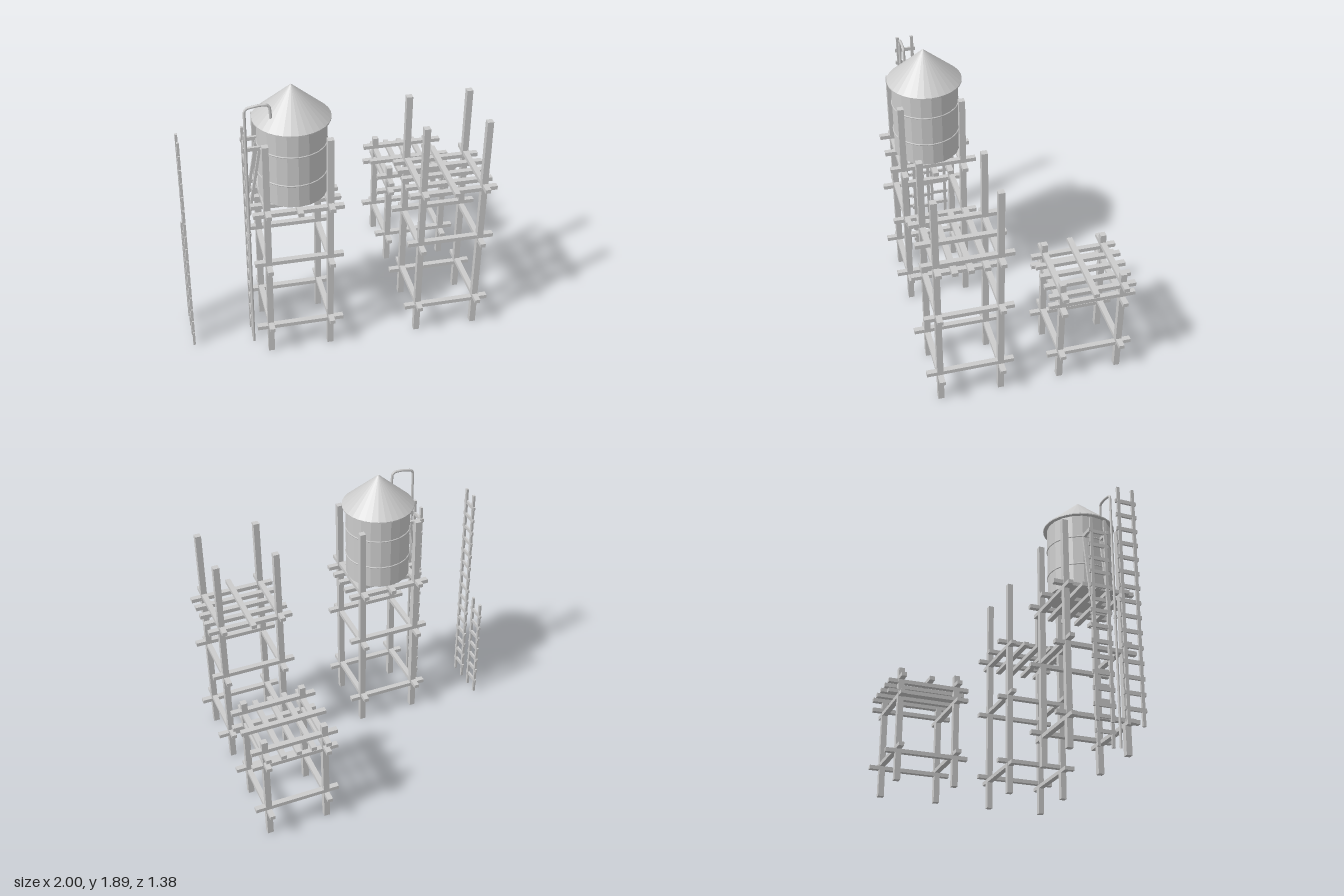
import * as THREE from 'three';

const mat = new THREE.MeshStandardMaterial({ color: 0xcccccc, flatShading: true });
const smooth = new THREE.MeshStandardMaterial({ color: 0xcccccc });

function add(parent, name, geometry, x, y, z, material = mat) {
  const mesh = new THREE.Mesh(geometry, material);
  mesh.name = name;
  mesh.position.set(x, y, z);
  parent.add(mesh);
  return mesh;
}

function box(parent, name, w, h, d, x, y, z) {
  return add(parent, name, new THREE.BoxGeometry(w, h, d), x, y, z);
}

const HALF = 0.2;         // post spacing from the tower centre
const LENGTH = 0.575;     // beam length
const THICK = 0.027;      // beam height
const ENDS = [-HALF, HALF];
const THREE_BEAMS = [-0.2, 0, 0.2];
const FIVE_BEAMS = [-0.2, -0.1, 0, 0.1, 0.2];

// Timber tower: four posts and layers of crossing beams
function makeTower(name, height, layers) {
  const tower = new THREE.Group();
  tower.name = name;
  for (const x of ENDS) for (const z of ENDS) box(tower, 'post', 0.04, height, 0.04, x, height / 2, z);
  for (const { axis, y, at } of layers) {
    for (const p of at) {
      if (axis === 'x') box(tower, 'crossBeam', LENGTH, THICK, 0.037, 0, y, p);
      else box(tower, 'sideBeam', 0.035, THICK, LENGTH, p, y, 0);
    }
  }
  return tower;
}

const tallLayers = [
  { axis: 'x', y: 0.203, at: ENDS }, { axis: 'z', y: 0.229, at: ENDS },
  { axis: 'z', y: 0.702, at: ENDS }, { axis: 'x', y: 0.728, at: ENDS },
  { axis: 'x', y: 1.103, at: FIVE_BEAMS }, { axis: 'z', y: 1.13, at: THREE_BEAMS },
];
const shortLayers = [
  { axis: 'z', y: 0.202, at: ENDS }, { axis: 'x', y: 0.228, at: ENDS },
  { axis: 'x', y: 0.602, at: ENDS }, { axis: 'z', y: 0.628, at: ENDS },
  { axis: 'z', y: 0.702, at: FIVE_BEAMS }, { axis: 'x', y: 0.728, at: THREE_BEAMS },
];

// Ladder with rungs every 0.1
function makeLadder(name, height) {
  const ladder = new THREE.Group();
  ladder.name = name;
  for (const z of [-0.05, 0.05]) box(ladder, 'ladderRail', 0.016, height, 0.02, 0, height / 2, z);
  for (let y = 0.1; y < height - 0.05; y += 0.1) box(ladder, 'rung', 0.013, 0.025, 0.142, 0, y, 0);
  return ladder;
}

// Water tank with hoops and conical roof
function makeTank() {
  const tank = new THREE.Group();
  tank.name = 'waterTank';
  add(tank, 'tankBody', new THREE.CylinderGeometry(0.219, 0.219, 0.525, 20), 0, 1.407, 0);
  for (const y of [1.3, 1.505]) {
    add(tank, 'hoop', new THREE.TorusGeometry(0.219, 0.005, 6, 32), 0, y, 0, smooth).rotation.x = Math.PI / 2;
  }
  add(tank, 'roofRim', new THREE.CylinderGeometry(0.244, 0.244, 0.008, 32), 0, 1.669, 0);
  add(tank, 'roof', new THREE.ConeGeometry(0.244, 0.22, 32), 0, 1.783, 0);
  return tank;
}

// Filling pipe that rises from the ground and bends over into the roof
function makePipe() {
  const pipe = new THREE.Group();
  pipe.name = 'fillingPipe';
  const path = new THREE.CurvePath();
  const points = [[-0.592, 0], [-0.59, 1.795], [-0.575, 1.813], [-0.51, 1.825], [-0.455, 1.825], [-0.438, 1.81], [-0.43, 1.7]]
    .map(([x, y]) => new THREE.Vector3(x, y, 0));
  for (let i = 1; i < points.length; i++) path.add(new THREE.LineCurve3(points[i - 1], points[i]));
  add(pipe, 'pipe', new THREE.TubeGeometry(path, 160, 0.009, 8), 0, 0, 0, smooth);
  add(pipe, 'pipeCollar', new THREE.CylinderGeometry(0.013, 0.013, 0.022, 8), -0.591, 0.893, 0);
  return pipe;
}

// Braces that tie the fixed ladder to the tank
function makeBraces() {
  const braces = new THREE.Group();
  braces.name = 'ladderBraces';
  const low = new THREE.Vector2(-0.58, 1.02), high = new THREE.Vector2(-0.502, 1.5);
  const run = high.clone().sub(low);
  for (const z of [0.338, 0.462]) {
    box(braces, 'levelBrace', 0.108, 0.025, 0.018, -0.549, 1.505, z);
    box(braces, 'diagonalBrace', 0.017, run.length(), 0.02, (low.x + high.x) / 2, (low.y + high.y) / 2, z)
      .rotation.z = -Math.atan2(run.x, run.y);
  }
  return braces;
}

export function createModel() {
  const model = new THREE.Group();
  model.name = 'waterTowerSet';
  const place = (part, x, z) => {
    part.position.set(x, 0, z);
    model.add(part);
  };
  place(makeTower('tankTower', 1.6, tallLayers), -0.29, 0.4);
  place(makeTower('tallTower', 1.6, tallLayers), 0.71, 0.4);
  place(makeTower('shortTower', 0.8, shortLayers), 0.71, -0.4);
  place(makeTank(), -0.29, 0.4);
  place(makePipe(), 0, 0.5);
  place(makeLadder('fixedLadder', 1.6), -0.59, 0.4);
  place(makeBraces(), 0, 0);
  place(makeLadder('tallLadder', 1.6), -0.99, 0.4);
  place(makeLadder('shortLadder', 0.8), -0.99, 0.2);
  return model;
}
